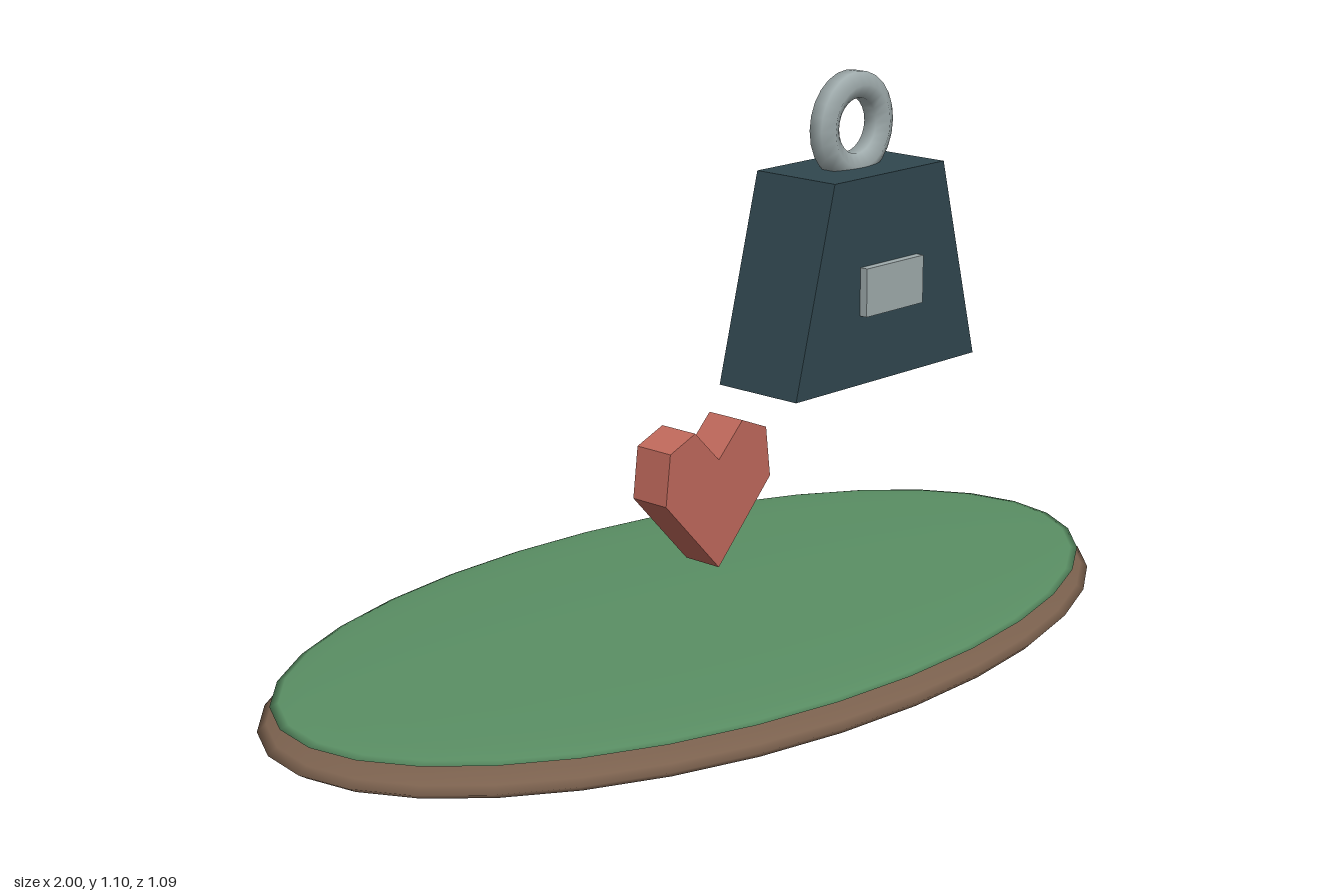
import * as THREE from 'three';

const paint = (name, color) => {
  const m = new THREE.MeshStandardMaterial({ color });
  m.name = name;
  return m;
};

export function createModel() {
  const soil = paint('soil brown', 0x7b614e);
  const grass = paint('grass green', 0x5a8f64);
  const red = paint('heart red', 0xbf685b);
  const iron = paint('dark iron', 0x30474f);
  const steel = paint('pale steel', 0x9fabac);

  const model = new THREE.Group();
  const add = (name, geometry, material, x = 0, y = 0, z = 0) => {
    const mesh = new THREE.Mesh(geometry, material);
    mesh.name = name;
    mesh.position.set(x, y, z);
    model.add(mesh);
    return mesh;
  };

  // Flat outline given depth, centred on z = 0
  const slab = (points, depth) => {
    const shape = new THREE.Shape(points.map(([x, y]) => new THREE.Vector2(x, y)));
    return new THREE.ExtrudeGeometry(shape, { depth, bevelEnabled: false })
      .translate(0, 0, -depth / 2);
  };

  // Island: two flattened ellipsoids
  const ellipsoid = (rx, ry, rz) => new THREE.SphereGeometry(1, 32, 16).scale(rx, ry, rz);
  add('soilBase', ellipsoid(1, 0.06, 0.545), soil, 0, 0.06);
  add('grassTop', ellipsoid(0.975, 0.02, 0.523), grass, 0, 0.103);

  // Faceted heart floating above the middle
  add('heart', slab([
    [0, 0.2], [0.144, 0.352], [0.132, 0.452], [0.065, 0.479],
    [0, 0.414], [-0.065, 0.479], [-0.132, 0.452], [-0.144, 0.352],
  ], 0.086), red);

  // Tapered weight with a raised plate on its front
  const weightX = 0.423;
  add('weightBody', slab([
    [-0.269, 0.505], [0.269, 0.505], [0.163, 0.915], [-0.163, 0.915],
  ], 0.2), iron, weightX);
  add('weightPlate', new THREE.BoxGeometry(0.17, 0.096, 0.017), steel, weightX, 0.692, 0.1085);

  // Six-sided ring handle
  const circle = [];
  for (let i = 0; i < 24; i++) {
    const a = (i / 24) * Math.PI * 2;
    circle.push(new THREE.Vector3(Math.cos(a) * 0.081, Math.sin(a) * 0.081, 0));
  }
  const path = new THREE.CatmullRomCurve3(circle, true);
  add('ringHandle', new THREE.TubeGeometry(path, 24, 0.03, 6, true), steel, weightX, 0.996);

  return model;
}
